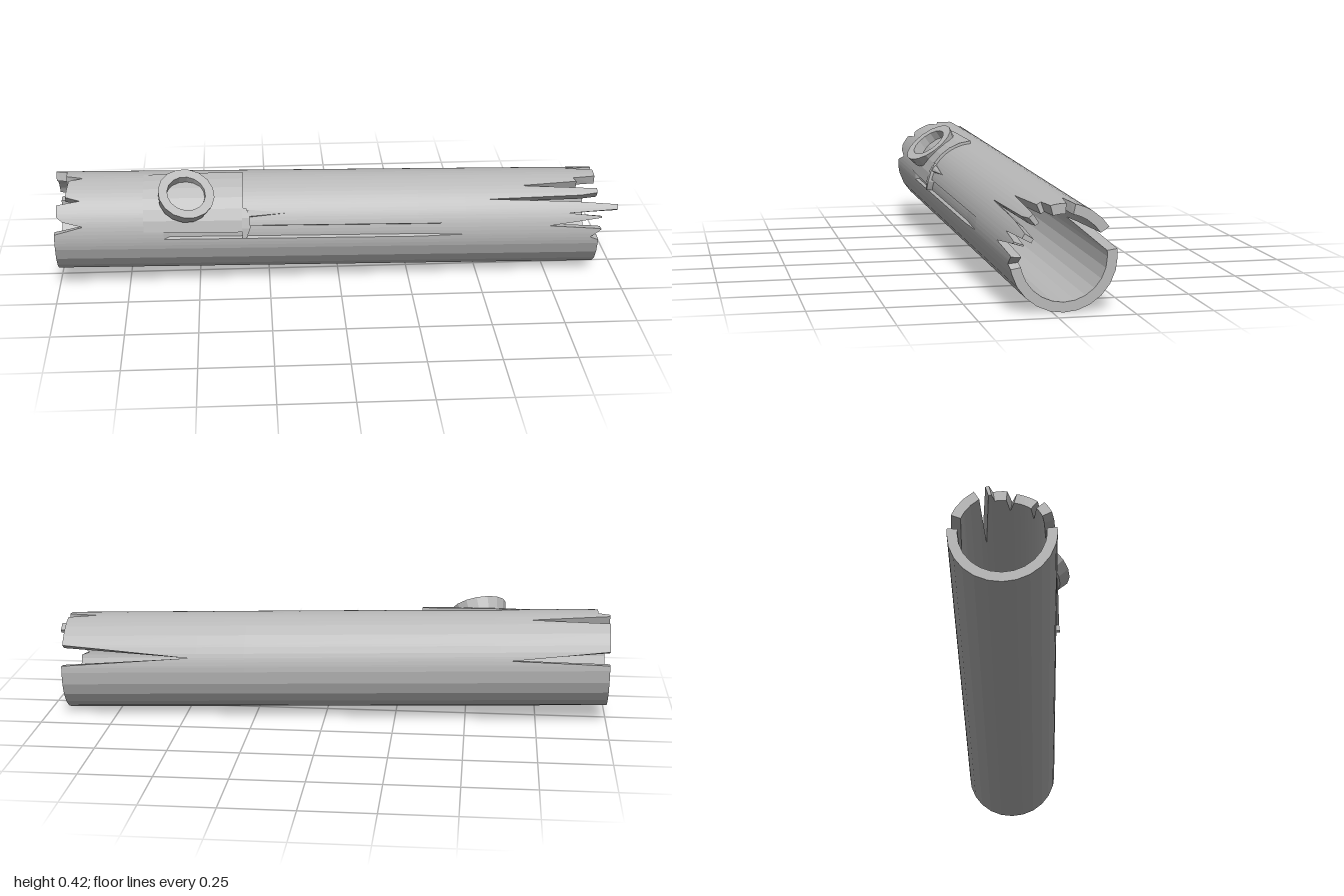
import * as THREE from 'three';

const axisY = (x) => 0.195 - 0.025 * x;
const axisZ = (x) => -0.01 - 0.026 * x;
const rad = THREE.MathUtils.degToRad;

// Point at an angle (degrees, 0 = front, 90 = top) and radius around the slanted axis
function polar(deg, r, x) {
  return [x, axisY(x) + r * Math.sin(rad(deg)), axisZ(x) + r * Math.cos(rad(deg))];
}

// Linear interpolation in an outline of [angle, x], wrapping round 360 degrees
function sample(outline, deg) {
  const n = outline.length;
  for (let i = 0; i < n; i++) {
    const [a, xa] = outline[i];
    const [b0, xb] = outline[(i + 1) % n];
    const b = i === n - 1 ? b0 + 360 : b0;
    for (const d of [deg, deg + 360, deg - 360]) {
      if (d >= a && d <= b) return xa + (xb - xa) * (d - a) / (b - a || 1);
    }
  }
  return outline[0][1];
}

// Curved slab: stations(deg) gives x positions, rOut and rIn give radii
function shell(angles, stations, rOut, rIn, closed) {
  const loops = angles.map((deg) => {
    const xs = stations(deg);
    const outer = xs.map((x, k) => polar(deg, rOut(deg, x, k), x));
    const inner = xs.map((x) => polar(deg, rIn(deg, x), x)).reverse();
    return [...outer, ...inner];
  });
  const pos = [];
  const quad = (a, b, c, d) => pos.push(...a, ...b, ...c, ...a, ...c, ...d);
  const m = loops[0].length;
  const last = closed ? loops.length : loops.length - 1;
  for (let i = 0; i < last; i++) {
    const p = loops[i], q = loops[(i + 1) % loops.length];
    for (let k = 0; k < m; k++) quad(p[k], p[(k + 1) % m], q[(k + 1) % m], q[k]);
  }
  if (!closed) {
    const s = loops[0], e = loops[loops.length - 1];
    for (let k = 0; k < m / 2 - 1; k++) {
      quad(e[k], e[k + 1], e[m - 2 - k], e[m - 1 - k]);
      quad(s[m - 1 - k], s[m - 2 - k], s[k + 1], s[k]);
    }
  }
  const g = new THREE.BufferGeometry();
  g.setAttribute('position', new THREE.Float32BufferAttribute(pos, 3));
  g.computeVertexNormals();
  return g;
}

export function createModel() {
  const group = new THREE.Group();
  const wood = new THREE.MeshStandardMaterial({ color: 0xb8b8b8 });
  wood.name = 'plain grey';
  wood.flatShading = true;
  const add = (name, geometry) => {
    const mesh = new THREE.Mesh(geometry, wood);
    mesh.name = name;
    group.add(mesh);
    return mesh;
  };

  // Splintered ends as [angle, x] outlines
  const leftEnd = [
    [-30, 0.93], [-10, 0.93], [-6, 0.9], [4, 0.94], [5, 0.93], [9, 0.75], [18, 0.94], [20, 0.94],
    [24, 0.82], [28, 1], [34, 1], [38, 0.85], [42, 0.53], [46, 0.87], [49, 0.93], [55, 0.93],
    [60, 0.65], [66, 0.86], [72, 0.85], [75, 0.93], [92, 0.93], [97, 0.83], [102, 0.93],
    [147, 0.93], [163, 0.48], [172, 0.93],
  ];
  const rightEnd = [
    [5, -1], [14, -0.9], [20, -0.97], [26, -0.99], [40, -0.99], [45, -0.91], [50, -0.96],
    [75, -0.95], [80, -0.9], [85, -0.96], [100, -0.96], [104, -1], [108, -1], [114, -0.72],
    [121, -1], [158, -1], [168, -0.66], [174, -1],
  ];
  const grooveEdges = [-2, 0, 13, 15];
  const even = Array.from({ length: 24 }, (_, i) => i * 15);
  const corners = [...leftEnd, ...rightEnd].map((p) => p[0]);
  const angles = [...new Set([...even, ...corners, ...grooveEdges].map((a) => (a + 360) % 360))]
    .sort((a, b) => a - b);

  // Hollow trunk with a shallow groove along the front
  const stations = (deg) => [sample(rightEnd, deg), -0.62, -0.6, 0.28, 0.45, sample(leftEnd, deg)];
  const inGroove = (deg) => deg < 14;
  const trunkRadius = (deg, x, k) => 0.172 - (inGroove(deg) && (k === 2 || k === 3) ? 0.01 : 0);
  add('hollowTrunk', shell(angles, stations, trunkRadius, () => 0.139, true));

  // Raised bark plate, rising toward its broken edge
  const arc = (a, b, n) => Array.from({ length: n + 1 }, (_, i) => a + (b - a) * i / n);
  add('barkPlate', shell(arc(7, 86, 6), () => [-0.69, -0.6, -0.34],
    (d, x) => 0.173 + 0.01 * Math.min(1, (x + 0.69) / 0.2), () => 0.16, false));

  // Torn splinters beside the plate
  add('uprightSplinter', shell(arc(0, 34, 3), (d) => [-0.345, -0.31 - 0.02 * Math.abs(d - 17) / 17],
    () => 0.184, () => 0.16, false));
  add('longSplinter', shell([24, 28, 32], (d) => [-0.34, d === 28 ? -0.19 : -0.31],
    (d, x) => (x > -0.32 ? 0.174 : 0.182), () => 0.16, false));

  // Broken branch stub: an open ring tilted slightly along the trunk
  const profile = [[0.066, -0.03], [0.092, -0.03], [0.1, 0.014], [0.068, 0.014], [0.066, -0.03]]
    .map(([r, y]) => new THREE.Vector2(r, y));
  const ring = add('branchRing', new THREE.LatheGeometry(profile, 16));
  ring.position.set(...polar(48, 0.189, -0.54));
  const normal = new THREE.Vector3(0.2, Math.sin(rad(54)), Math.cos(rad(54))).normalize();
  ring.quaternion.setFromUnitVectors(new THREE.Vector3(0, 1, 0), normal);

  return group;
}
